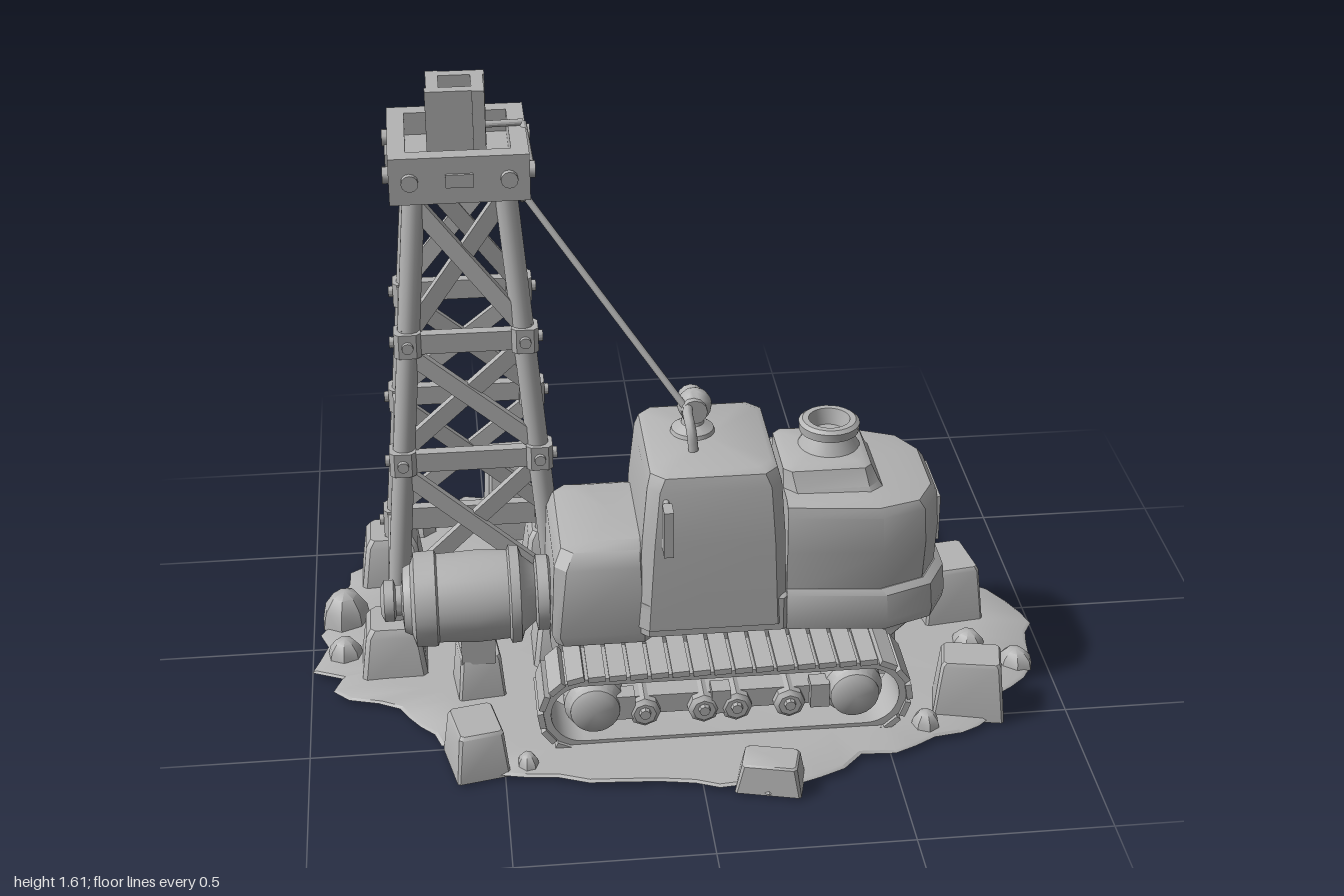
import * as THREE from 'three';
import { toCreasedNormals } from 'three/addons/utils/BufferGeometryUtils.js';

const grey = new THREE.MeshStandardMaterial({ color: 0xb4b4b4, side: THREE.DoubleSide });
grey.name = 'plain grey';
const V = (x, y, z) => new THREE.Vector3(x, y, z);
let seed = 7;
const rnd = () => (seed = (seed * 16807) % 2147483647) / 2147483647;

function add(parent, name, geo, crease = 0.6) {
  const m = new THREE.Mesh(toCreasedNormals(geo, crease), grey);
  m.name = name;
  parent.add(m);
  return m;
}
function group(parent, name) {
  const g = new THREE.Group();
  g.name = name;
  parent.add(g);
  return g;
}
// Closed solid through stacked rings of [x, y, z], counter-clockwise from above
function loft(rings) {
  const n = rings[0].length, pos = rings.flat(2), idx = [];
  for (let i = 0; i < rings.length - 1; i++)
    for (let j = 0; j < n; j++) {
      const k = (j + 1) % n, a = i * n + j, b = i * n + k;
      idx.push(a, b, b + n, a, b + n, a + n);
    }
  [0, rings.length - 1].forEach((r, top) => {
    const c = pos.length / 3;
    for (let d = 0; d < 3; d++) pos.push(rings[r].reduce((s, p) => s + p[d] / n, 0));
    for (let j = 0; j < n; j++) {
      const a = r * n + j, b = r * n + (j + 1) % n;
      idx.push(c, ...(top ? [a, b] : [b, a]));
    }
  });
  const g = new THREE.BufferGeometry();
  g.setAttribute('position', new THREE.Float32BufferAttribute(pos, 3));
  g.setIndex(idx);
  g.computeVertexNormals();
  return g;
}
// Chamfered rectangular ring
const ring = (y, x0, x1, z0, z1, c) => [[x1, z1 - c], [x1, z0 + c], [x1 - c, z0], [x0 + c, z0],
  [x0, z0 + c], [x0, z1 - c], [x0 + c, z1], [x1 - c, z1]].map(([x, z]) => [x, y, z]);
const block = (...s) => loft(s.map(a => ring(...a)));

// Beam between two points: round with radius w, or rectangular w by h
function beam(parent, name, a, b, w, h = 0) {
  const len = a.distanceTo(b);
  const g = h ? new THREE.BoxGeometry(w, h, len) : new THREE.CylinderGeometry(w, w, len, 12).rotateX(Math.PI / 2);
  const m = add(parent, name, g);
  m.position.copy(a).add(b).multiplyScalar(0.5);
  m.quaternion.setFromRotationMatrix(new THREE.Matrix4().lookAt(b, a, V(0, 1, 0)));
  return m;
}
// Lathe turned so that its axis is x, y or z; profile is [along, radius]
function turned(parent, name, profile, axis, x, y, z, sides = 24) {
  const g = new THREE.LatheGeometry(profile.map(([t, r]) => new THREE.Vector2(r, t)), sides);
  if (axis === 'x') g.rotateZ(-Math.PI / 2);
  if (axis === 'z') g.rotateX(Math.PI / 2);
  const m = add(parent, name, g);
  m.position.set(x, y, z);
  return m;
}

function buildGround(root) {
  const pts = [[-.98, -.05], [-.97, -.21], [-.9, -.37], [-.82, -.55], [-.72, -.7], [-.56, -.77], [-.4, -.82],
    [-.22, -.77], [-.17, -.66], [-.02, -.57], [.09, -.45], [.12, -.36], [.35, -.32], [.62, -.28], [.81, -.23],
    [.92, -.08], [1, .1], [.96, .24], [.92, .36], [.83, .5], [.7, .59], [.51, .66], [.3, .74], [.16, .8], [-.02, .73],
    [-.29, .7], [-.53, .64], [-.66, .5], [-.74, .37], [-.9, .27], [-1, .13]].reverse();
  const edge = [];
  pts.forEach((p, i) => {
    const q = pts[(i + 1) % pts.length];
    for (const t of [0, .33, .67]) {
      const s = t ? .95 + rnd() * .065 : 1;
      edge.push([(p[0] + (q[0] - p[0]) * t) * s, (p[1] + (q[1] - p[1]) * t) * s]);
    }
  });
  const at = (s, y) => edge.map(([x, z]) => [x * s, y, z * s]);
  add(root, 'ground', loft([at(1, .012), at(.99, .018), at(.85, .024), at(.4, .03)]));

  // Boulders: x, z, width, depth, height, turn
  const stones = group(root, 'boulders');
  [[-.43, -.56, .14, .17, .27, .05], [.77, 0, .17, .19, .18, .15], [.74, .47, .19, .13, .17, -.2], [.17, .74, .17, .11, .08, -.25],
    [-.57, .57, .14, .17, .13, .2], [.02, -.39, .1, .17, .1, -.5], [-.3, -.52, .1, .08, .08, -.3], [-.55, .25, .13, .14, .14, .1]]
    .forEach(([x, z, w, d, h, turn]) => {
      w /= 2; d /= 2;
      const m = add(stones, 'boulder', block([0, -w, w, -d, d, .006], [h * .94, -w * .82, w * .84, -d * .86, d * .82, .008],
        [h, -w * .74, w * .78, -d * .8, d * .74, .008]));
      m.position.set(x, .005, z);
      m.rotation.y = turn;
    });
  // Half-buried pebbles: x, z, radius, height
  [[-.49, -.67, .05, .05], [-.7, -.58, .06, .07], [-.14, -.57, .03, .03], [-.13, -.47, .03, .03], [-.91, -.12, .075, .1],
    [-.91, .06, .05, .06], [.69, -.32, .085, .06], [.8, .19, .05, .05], [.91, .29, .052, .05], [.61, .55, .04, .05],
    [-.44, .61, .035, .04], [-.54, .53, .04, .04]].forEach(([x, z, r, h]) => {
    const m = add(stones, 'pebble', new THREE.SphereGeometry(1, 7, 3, 0, Math.PI * 2, 0, Math.PI / 2), 0.6);
    m.scale.set(r, h, r * (.8 + rnd() * .2));
    m.rotation.y = rnd() * 6;
    m.position.set(x, .012, z);
  });
}

function buildTower(root) {
  const tower = group(root, 'tower');
  tower.position.set(-.543, 0, -.125);
  const half = y => .117 + (1.35 - y) * .084;
  const corner = (i, y, out = 0) => {
    const h = half(y) + out;
    return V([1, 1, -1, -1][i % 4] * h, y, [1, -1, -1, 1][i % 4] * h);
  };
  for (let i = 0; i < 4; i++) {
    beam(tower, 'leg', corner(i, .08), corner(i, 1.38), .03);
    const foot = add(tower, 'footStone', block([0, -.09, .09, -.09, .09, .012], [.13, -.073, .073, -.073, .073, .012], [.15, -.06, .06, -.06, .06, .012]));
    foot.position.copy(corner(i, .08, .008)).setY(.01);
    // Horizontal bands with bolted corner clamps
    for (const y of [.205, .62, .955]) {
      const s = y < .3 ? 1.25 : 1;
      beam(tower, 'band', corner(i, y, .01), corner(i + 1, y, .01), .03, .055 * s);
      const c = add(tower, 'clamp', block([-.034 * s, -.035, .035, -.035, .035, .012], [.034 * s, -.035, .035, -.035, .035, .012]));
      c.position.copy(corner(i, y, .002));
      for (const axis of ['x', 'z']) {
        const p = corner(i, y, .002), d = axis === 'x' ? V(Math.sign(p.x), 0, 0) : V(0, 0, Math.sign(p.z));
        beam(tower, 'bolt', p.clone().addScaledVector(d, .03), p.clone().addScaledVector(d, .047), .015);
      }
    }
    // Crossed braces on every face
    for (const [y0, y1] of [[.24, .59], [.65, .93], [.98, 1.34]]) {
      beam(tower, 'brace', corner(i, y0, -.004), corner(i + 1, y1, -.004), .022, .045);
      beam(tower, 'brace', corner(i + 1, y0, .006), corner(i, y1, .006), .022, .045);
    }
    // Crown frame beams, bolts and cap walls
    const side = group(tower, 'crownSide');
    side.rotation.y = i * Math.PI / 2;
    add(side, 'crownBeam', new THREE.BoxGeometry(.355, .125, .045)).position.set(0, 1.413, .155);
    for (const x of [-.125, .125]) beam(side, 'crownBolt', V(x, 1.413, .17), V(x, 1.413, .193), .022);
    add(side, 'crownPlate', new THREE.BoxGeometry(.07, .035, .009)).position.set(0, 1.413, .181);
    add(side, 'capWall', new THREE.BoxGeometry(.145, .2, .032)).position.set(-.005, 1.51, .057);
  }
  add(tower, 'crownFloor', new THREE.BoxGeometry(.3, .03, .3)).position.set(0, 1.4, 0);
  // Bent lever over the crown beam
  beam(tower, 'crownLever', V(.184, 1.405, .055), V(.172, 1.483, -.02), .009);
  beam(tower, 'crownLever', V(.172, 1.483, -.02), V(.07, 1.483, -.015), .009);
}

function buildTrack(parent) {
  const x0 = -.29, x1 = .45, y = .12;
  const oval = (r, P) => {
    const s = new P();
    s.moveTo(x0, y - r);
    s.lineTo(x1, y - r);
    s.absarc(x1, y, r, -Math.PI / 2, Math.PI / 2, false);
    s.lineTo(x0, y + r);
    s.absarc(x0, y, r, Math.PI / 2, Math.PI * 1.5, false);
    return s;
  };
  const belt = oval(.105, THREE.Shape);
  belt.holes.push(oval(.085, THREE.Path));
  add(parent, 'trackBelt', new THREE.ExtrudeGeometry(belt, { depth: .15, bevelEnabled: false, curveSegments: 10 })).position.z = .4;
  const path = oval(.11, THREE.Path), n = 40;
  for (let i = 0; i < n; i++) {
    const p = path.getPointAt(i / n), t = path.getTangentAt(i / n);
    const plate = add(parent, 'trackPlate', new THREE.BoxGeometry(.045, .016, .17));
    plate.position.set(p.x, p.y, .475);
    plate.rotation.z = Math.atan2(t.y, t.x) + .06;
  }
}

// Wheels and rollers; dir is the way they face
function buildWheels(parent, z, dir) {
  const run = group(parent, 'runningGear');
  run.position.z = z;
  run.rotation.y = dir > 0 ? 0 : Math.PI;
  for (const x of [-.26, .42])
    turned(run, 'wheel', [[-.1, 0], [-.1, .078], [0, .078], [.015, .066], [.035, .064], [.045, .05], [.047, 0]], 'z', x * dir, .118, 0);
  add(run, 'rollerFrame', new THREE.BoxGeometry(.6, .055, .08)).position.set(.08 * dir, .105, -.04);
  for (const x of [-.13, .025, .11, .25]) {
    turned(run, 'roller', [[-.06, 0], [-.06, .042], [.02, .042], [.03, .03], [.03, 0]], 'z', x * dir, .095, 0, 8);
    turned(run, 'rollerBolt', [[.03, .016], [.042, .014], [.042, 0]], 'z', x * dir, .1, 0, 8);
  }
  for (const x of [-.18, .07, .33]) add(run, 'rollerBracket', new THREE.BoxGeometry(.05, .07, .05)).position.set(x * dir, .115, 0);
}

function buildCrawler(root) {
  const crawler = group(root, 'crawler');
  buildTrack(crawler);
  buildWheels(crawler, .505, 1);
  buildWheels(crawler, .015, -1);
  // Chassis and lower nose
  add(crawler, 'chassis', block([.06, -.34, .5, .13, .34, .02], [.2, -.36, .53, .12, .35, .02], [.3, -.36, .55, .12, .35, .02]));
  add(crawler, 'lowerNose', block([.04, .4, .57, .11, .34, .02], [.15, .4, .57, .13, .325, .02], [.21, .4, .63, .11, .34, .03], [.3, .4, .645, .09, .355, .03]));
  // Engine hood, wider at the middle with a blunt nose
  const plan = [[.67, .33], [.67, .13], [.62, .05], [.5, .01], [.25, .04], [.25, .44], [.5, .465], [.62, .42]];
  const hoodRing = (y, s, drop = 0) => plan.map(([x, z]) => [.25 + (x - .25) * s, y - drop * Math.max(0, x - .45), .235 + (z - .235) * s]);
  add(crawler, 'hoodSkirt', loft([hoodRing(.275, 1.035), hoodRing(.3, 1.045), hoodRing(.375, 1.03), hoodRing(.39, .98)]));
  add(crawler, 'hood', loft([hoodRing(.37, .97), hoodRing(.5, .985), hoodRing(.6, .97, .02), hoodRing(.628, .93, .05), hoodRing(.64, .8, .06)]));
  add(crawler, 'nosePanel', new THREE.BoxGeometry(.009, .13, .19)).position.set(.663, .515, .235);
  add(crawler, 'hoodRise', block([.6, .25, .53, .06, .41, .05], [.645, .25, .5, .1, .37, .03], [.69, .25, .48, .12, .35, .02], [.7, .27, .46, .14, .33, .02]));
  turned(crawler, 'filler', [[.68, .09], [.7, .08], [.735, .06], [.742, .078], [.765, .08], [.773, .07], [.773, .054], [.73, .045], [.73, 0]], 'y', .385, 0, .225);
  // Cabin and rear hood
  add(crawler, 'cabinSkirt', block([.28, -.13, .26, .02, .455, .02], [.375, -.13, .26, .02, .455, .02], [.385, -.12, .25, .035, .44, .02]));
  add(crawler, 'cabin', block([.3, -.135, .25, .015, .46, .025], [.55, -.125, .245, .02, .455, .03], [.7, -.11, .235, .035, .44, .03], [.735, -.1, .225, .045, .43, .035], [.745, -.085, .21, .065, .41, .035]));
  add(crawler, 'rearHood', block([.25, -.35, -.1, .05, .43, .02], [.28, -.36, -.1, .04, .435, .02], [.48, -.35, -.1, .04, .435, .03], [.52, -.33, -.1, .06, .41, .03], [.535, -.28, -.1, .09, .38, .03]));
  add(crawler, 'mirror', new THREE.BoxGeometry(.025, .13, .05)).position.set(-.065, .62, .49);
  for (const y of [.58, .675]) beam(crawler, 'mirrorArm', V(-.065, y, .42), V(-.065, y, .48), .008);
  // Rope eye, hook and hoist rope
  turned(crawler, 'eyeBase', [[.74, .06], [.755, .055], [.77, .03], [.8, .024], [.8, 0]], 'y', .03, 0, .2);
  add(crawler, 'eyeKnob', new THREE.SphereGeometry(.045, 14, 10), 1).position.set(.035, .82, .2);
  beam(crawler, 'eyePin', V(.03, .82, .15), V(.03, .82, .245), .034);
  const hook = new THREE.CatmullRomCurve3([V(.02, .745, .31), V(.015, .8, .3), V(.01, .83, .26), V(.02, .83, .21)]);
  add(crawler, 'hook', new THREE.TubeGeometry(hook, 14, .013, 8), 1);
  beam(root, 'rope', V(-.385, 1.355, .01), V(.01, .825, .23), .009);
  const eye = add(root, 'ropeRing', new THREE.TorusGeometry(.022, .009, 8, 16), 1);
  eye.rotation.y = Math.PI / 2;
  eye.position.set(-.385, 1.36, .01);
  // Winch drum and its support
  turned(crawler, 'drum', [[-.8, 0], [-.8, .035], [-.79, .055], [-.765, .055], [-.76, .04], [-.745, .04], [-.74, .085], [-.72, .095], [-.71, .125],
    [-.655, .127], [-.65, .117], [-.55, .122], [-.465, .117], [-.46, .13], [-.435, .128], [-.425, .1], [-.395, .075], [-.39, .1],
    [-.36, .1], [-.34, .08], [-.34, 0]], 'x', 0, .307, .25, 28);
  add(crawler, 'drumStand', new THREE.BoxGeometry(.09, .08, .12)).position.set(-.55, .17, .25);
}

export function createModel() {
  seed = 7;
  const root = new THREE.Group();
  root.name = 'drillingRig';
  buildGround(root);
  buildTower(root);
  buildCrawler(root);
  return root;
}
